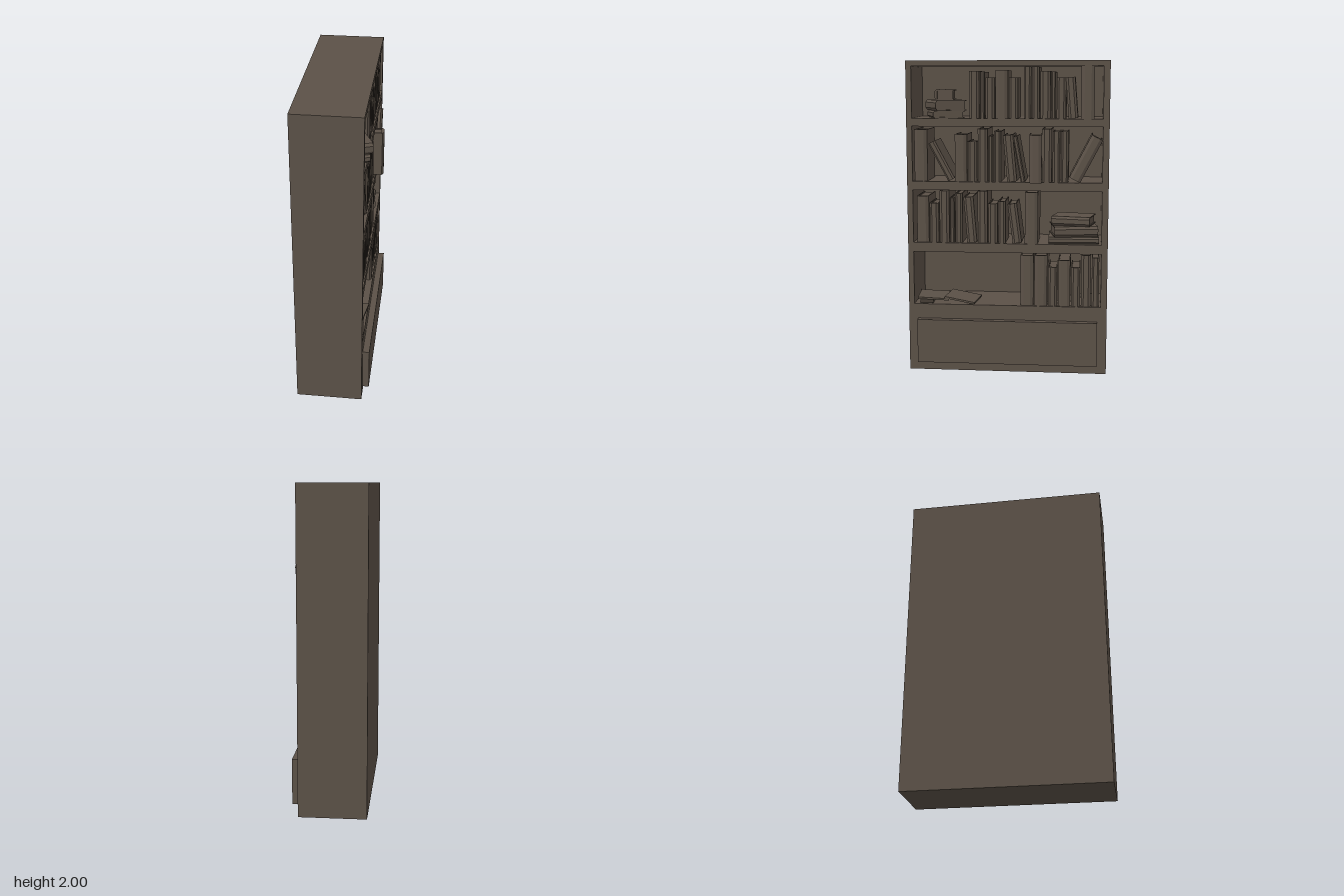
import * as THREE from 'three';

const material = new THREE.MeshStandardMaterial({ color: 0x5b5147, flatShading: true });
const FRONT = 0.18;
const GAP = 0.006;

function box(name, sx, sy, sz, x, y, z) {
  const mesh = new THREE.Mesh(new THREE.BoxGeometry(sx, sy, sz), material);
  mesh.name = name;
  mesh.position.set(x, y, z);
  return mesh;
}

// A book standing on y = 0, spine towards +x, thickness along z, centred on x and z
function makeBook(t, h, d) {
  const book = new THREE.Group();
  book.name = 'book';
  const r = t / 2, c = Math.min(0.007, t * 0.18), bulge = Math.min(0.012, t * 0.25);
  const shoulder = d / 2 - bulge;
  const half = [[-d / 2, r - c], [-d / 2, r], [shoulder, r], [d / 2, r / 2]];
  const inner = [shoulder - c, r - c];
  const mirrored = ([x, z]) => [x, -z];
  const outline = [inner, ...half, ...half.map(mirrored).reverse(), mirrored(inner)];
  const shape = new THREE.Shape(outline.map(([x, z]) => new THREE.Vector2(x, z)));
  const geometry = new THREE.ExtrudeGeometry(shape, { depth: h, bevelEnabled: false });
  geometry.rotateX(-Math.PI / 2);
  const cover = new THREE.Mesh(geometry, material);
  cover.name = 'cover';
  const inset = 0.008;
  const pages = box('pages', d - bulge - c - inset, h - 2 * inset, t - 2 * c,
    (inset - bulge - c) / 2, h / 2, 0);
  book.add(cover, pages);
  return book;
}

// Standard book sizes: thickness, height, depth
const sizes = {
  large: [0.083, 0.33, 0.29],
  medium: [0.077, 0.3, 0.27],
  plain: [0.062, 0.295, 0.27],
  tall: [0.062, 0.335, 0.29],
  small: [0.058, 0.255, 0.25],
  slim: [0.046, 0.32, 0.27],
  short: [0.046, 0.27, 0.25],
  thin: [0.028, 0.29, 0.25],
};

// Floor and ceiling heights of the open compartments
const compartments = [[0.44, 0.785], [0.845, 1.185], [1.24, 1.59], [1.64, 1.965]];

// Rows of books packed side by side from z towards -z
const rows = [
  { shelf: 0, z: -0.085, books: 'large large small medium small tall slim' },
  { shelf: 1, z: 0.583, books: 'medium small tall thin slim' },
  { shelf: 1, z: 0.281, books: 'plain', lean: 0.08 },
  { shelf: 1, z: 0.19, books: 'tall small short' },
  { shelf: 1, z: -0.002, books: 'small', lean: 0.13 },
  { shelf: 1, z: -0.112, books: 'large' },
  { shelf: 2, z: 0.594, books: 'large' },
  { shelf: 2, z: 0.504, books: 'short', lean: 0.49 },
  { shelf: 2, z: 0.334, books: 'medium small tall thin slim' },
  { shelf: 2, z: 0.027, books: 'plain', lean: 0.09 },
  { shelf: 2, z: -0.035, books: 'thin', lean: 0.18 },
  { shelf: 2, z: -0.138, books: 'medium', out: 0.06, yaw: 0.05 },
  { shelf: 2, z: -0.219, books: 'tall slim slim' },
  { shelf: 2, z: -0.393, books: 'medium', lean: -0.48, out: 0.02 },
  { shelf: 3, z: 0.239, books: 'plain thin small medium small' },
  { shelf: 3, z: -0.104, books: 'slim slim plain thin small' },
  { shelf: 3, z: -0.365, books: 'small', lean: 0.08 },
  { shelf: 3, z: -0.462, books: 'large' },
];

// Piles of lying books: centre, then [thickness, height, depth, yaw] from the bottom up
const piles = [
  { x: 0.05, y: 1.64, z: 0.408,
    books: [[0.047, 0.25, 0.2, -1.25], [0.067, 0.27, 0.2, -1.15], [0.066, 0.2, 0.125, -1.5]] },
  { x: 0.03, y: 0.845, z: -0.42,
    books: [[0.042, 0.32, 0.25, 0.03], [0.068, 0.28, 0.24, 0.18], [0.06, 0.25, 0.2, -0.2]] },
  { x: 0.08, y: 0.44, z: 0.53, books: [[0.026, 0.085, 0.16, 0.05]] },
];

export function createModel() {
  const model = new THREE.Group();
  model.name = 'bookcase';

  // Carcass: one frame with four openings, closed by a back panel
  const frame = new THREE.Shape();
  const rect = (path, z0, y0, z1, y1) =>
    path.moveTo(-z0, y0).lineTo(-z1, y0).lineTo(-z1, y1).lineTo(-z0, y1).closePath();
  rect(frame, 0.64, 0, -0.64, 2);
  for (const [floor, ceiling] of compartments) {
    const hole = new THREE.Path();
    rect(hole, 0.605, floor, -0.6, ceiling);
    frame.holes.push(hole);
  }
  const frameGeometry = new THREE.ExtrudeGeometry(frame, { depth: 0.38, bevelEnabled: false });
  frameGeometry.rotateY(Math.PI / 2).translate(FRONT - 0.38, 0, 0);
  const carcass = new THREE.Mesh(frameGeometry, material);
  carcass.name = 'carcass';
  model.add(carcass);
  model.add(box('backPanel', 0.04, 2, 1.28, -0.22, 1, 0));
  model.add(box('drawerFront', 0.05, 0.285, 1.16, 0.197, 0.2025, 0));

  // Standing and leaning books
  for (const { shelf, z, books, lean = 0, out = 0, yaw = 0 } of rows) {
    let edge = z;
    for (const size of books.split(' ')) {
      const [t, h, d] = sizes[size];
      const book = makeBook(t, h, d);
      const foot = t * Math.cos(lean), reach = h * Math.sin(lean);
      book.rotation.set(lean, yaw, 0);
      book.position.set(FRONT - 0.008 + out - d / 2,
        compartments[shelf][0] + (t / 2) * Math.sin(Math.abs(lean)),
        edge - foot / 2 - Math.max(reach, 0));
      model.add(book);
      edge -= foot + Math.abs(reach) + GAP;
    }
  }

  // Piles of lying books
  for (const { x, y, z, books } of piles) {
    let level = y;
    for (const [t, h, d, yaw] of books) {
      const book = makeBook(t, h, d);
      book.name = 'lyingBook';
      book.children.forEach((part) => { part.position.y -= h / 2; });
      book.rotation.set(Math.PI / 2, yaw, 0, 'YXZ');
      book.position.set(x, level + t / 2, z);
      model.add(book);
      level += t;
    }
  }

  // Open book lying face down, as two sloping halves
  for (const [z, y, slope, yaw] of [[0.49, 0.473, -0.06, 0.08], [0.3, 0.466, -0.16, -0.1]]) {
    const half = box('openBookHalf', 0.22, 0.012, 0.2, 0.065, y, z);
    half.rotation.set(slope, yaw, 0, 'YXZ');
    model.add(half);
  }
  return model;
}
